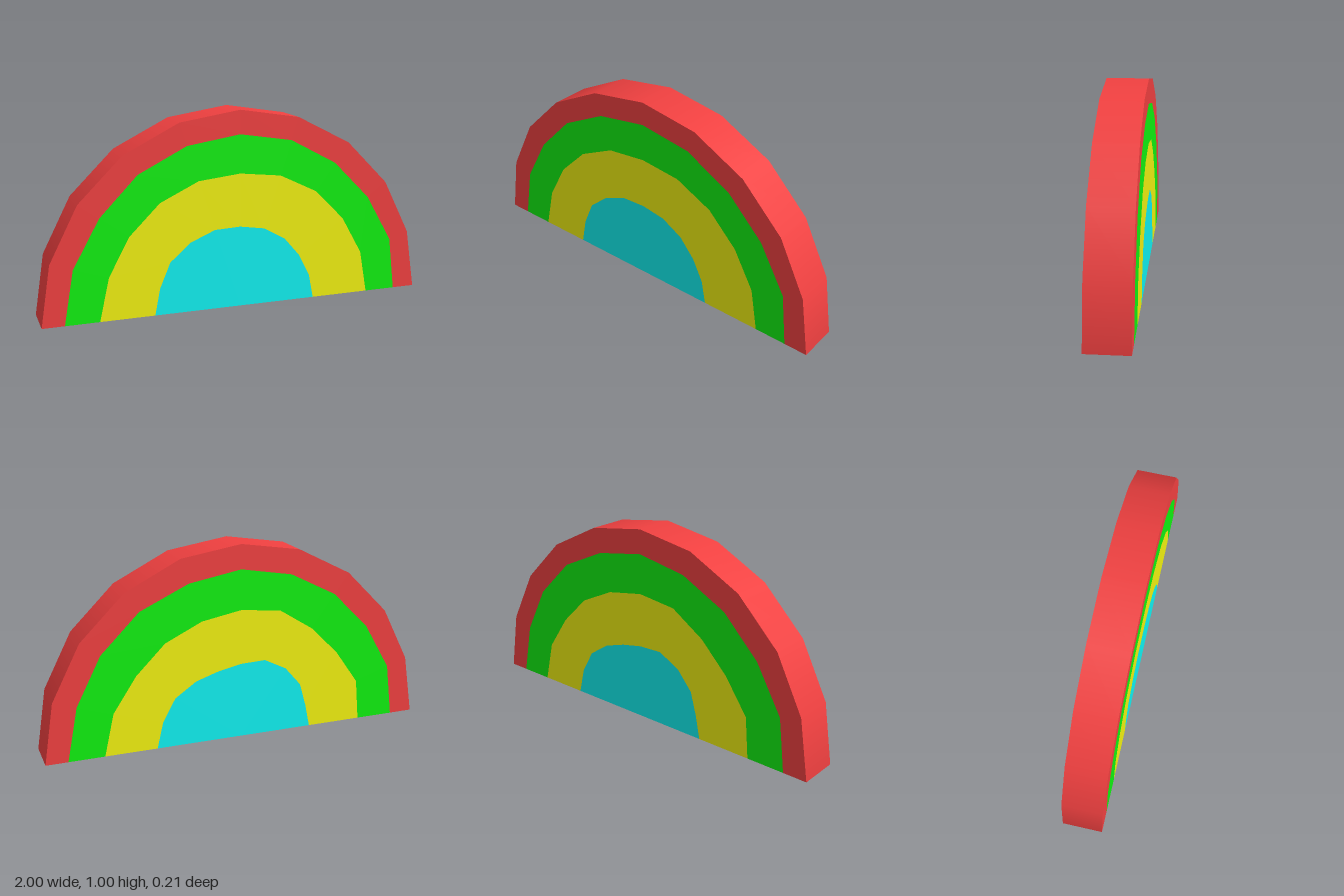
import * as THREE from 'three';

const SEG = 10, HALF = 0.105;

// Band edges as radii per spoke, from the +x foot over the top to the -x foot.
const fill = (r) => new Array(SEG + 1).fill(r);
const EDGES = [
  { front: fill(1), back: fill(1) },
  {
    front: [0.88, 0.89, 0.875, 0.875, 0.88, 0.88, 0.88, 0.88, 0.875, 0.885, 0.89],
    back: [0.89, 0.88, 0.88, 0.88, 0.87, 0.875, 0.87, 0.87, 0.87, 0.885, 0.875],
  },
  {
    front: [0.715, 0.71, 0.70, 0.70, 0.695, 0.685, 0.695, 0.70, 0.70, 0.705, 0.72],
    back: [0.71, 0.695, 0.67, 0.67, 0.665, 0.67, 0.68, 0.66, 0.66, 0.69, 0.675],
  },
  {
    front: [0.405, 0.40, 0.40, 0.41, 0.415, 0.415, 0.43, 0.44, 0.45, 0.44, 0.445],
    back: [0.445, 0.435, 0.43, 0.405, 0.385, 0.39, 0.415, 0.415, 0.405, 0.38, 0.385],
  },
  { front: fill(0), back: fill(0) },
];

// Front face, back face and the two feet between an outer and an inner edge.
function bandGeometry(outer, inner) {
  const positions = [];
  const point = (edge, side, i) => {
    const a = (Math.PI * i) / SEG, r = edge[side][i];
    return [r * Math.cos(a), r * Math.sin(a), side === 'front' ? HALF : -HALF];
  };
  const quad = (a, b, c, d) => positions.push(...a, ...b, ...c, ...a, ...c, ...d);

  for (let i = 0; i < SEG; i++) {
    quad(point(inner, 'front', i), point(outer, 'front', i), point(outer, 'front', i + 1), point(inner, 'front', i + 1));
    quad(point(inner, 'back', i + 1), point(outer, 'back', i + 1), point(outer, 'back', i), point(inner, 'back', i));
  }
  quad(point(inner, 'back', 0), point(outer, 'back', 0), point(outer, 'front', 0), point(inner, 'front', 0));
  quad(point(outer, 'back', SEG), point(inner, 'back', SEG), point(inner, 'front', SEG), point(outer, 'front', SEG));

  const geometry = new THREE.BufferGeometry();
  geometry.setAttribute('position', new THREE.Float32BufferAttribute(positions, 3));
  geometry.computeVertexNormals();
  return geometry;
}

export function createModel() {
  const model = new THREE.Group();
  model.name = 'rainbowArch';

  const add = (name, geometry, material) => {
    const mesh = new THREE.Mesh(geometry, material);
    mesh.name = name;
    model.add(mesh);
  };

  // Coloured bands from the outside in
  const bands = [
    ['redBand', 0xf04040],
    ['greenBand', 0x10f010],
    ['yellowBand', 0xf0f010],
    ['blueCore', 0x10f0f0],
  ];
  const materials = bands.map(([, color]) => new THREE.MeshStandardMaterial({ color }));
  bands.forEach(([name], i) => add(name, bandGeometry(EDGES[i], EDGES[i + 1]), materials[i]));

  // Smooth-shaded outer rim
  const rim = new THREE.CylinderGeometry(1, 1, HALF * 2, SEG, 1, true, Math.PI / 2, Math.PI);
  rim.rotateX(Math.PI / 2);
  add('outerRim', rim, materials[0]);

  return model;
}
